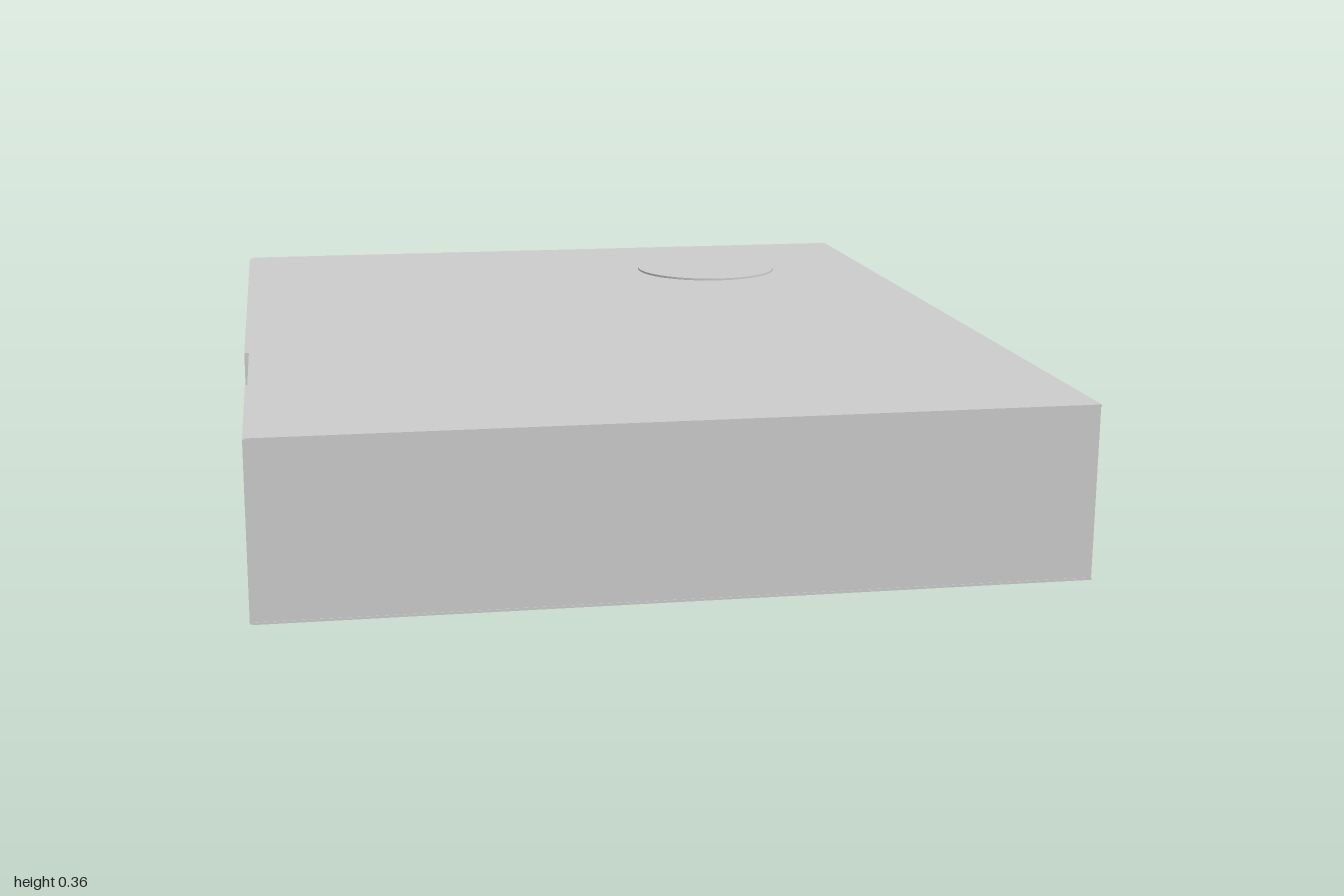
import * as THREE from 'three';

const WALL_TOP = 0.353; // wall height, just under the roof surface
const OUTER = 0.045;    // outer wall thickness
const INNER = 0.036;    // partition thickness
const material = new THREE.MeshStandardMaterial({ color: 0xcccccc, flatShading: true });

// Box given by its limits along each axis
function block(name, [x0, x1], [y0, y1], [z0, z1]) {
  const mesh = new THREE.Mesh(new THREE.BoxGeometry(x1 - x0, y1 - y0, z1 - z0), material);
  mesh.position.set((x0 + x1) / 2, (y0 + y1) / 2, (z0 + z1) / 2);
  mesh.name = name;
  return mesh;
}

export function createModel() {
  const house = new THREE.Group();
  house.name = 'house';
  const height = [0.001, WALL_TOP];

  // Thin floor and roof slabs
  house.add(block('floor', [-0.81, 0.817], [0, 0.005], [-1, 1]));
  house.add(block('roof', [-0.81, 0.817], [0.35, 0.355], [-1, 1]));

  // Outer walls, with a full-height entrance in the -x side
  const outer = new THREE.Group();
  outer.name = 'outerWalls';
  outer.add(
    block('frontWall', [-0.815, 0.816], height, [1 - OUTER, 0.999]),
    block('backWall', [-0.819, 0.816], height, [-0.999, -1 + OUTER]),
    block('leftWall', [0.816 - OUTER, 0.816], height, [-1 + OUTER, 1 - OUTER]),
    block('rightWallBack', [-0.82, -0.82 + OUTER], height, [-1 + OUTER, 0.255]),
    block('rightWallFront', [-0.815, -0.815 + OUTER], height, [0.56, 1 - OUTER])
  );
  house.add(outer);

  // Partitions between rooms; the gaps are doorways
  const inner = new THREE.Group();
  inner.name = 'partitions';
  const across = (z, runs) => runs.forEach((run) =>
    inner.add(block('crossPartition', run, height, [z - INNER / 2, z + INNER / 2])));
  const along = (x, runs) => runs.forEach((run) =>
    inner.add(block('lengthPartition', [x - INNER / 2, x + INNER / 2], height, run)));
  across(-0.27, [[-0.776, -0.46], [-0.17, 0.33], [0.55, 0.772]]);
  across(0.51, [[0.03, 0.25], [0.45, 0.772]]);
  along(0.025, [[-0.956, 0.12], [0.3, 0.64], [0.81, 0.956]]);
  house.add(inner);

  // Low round disc on the roof
  const disc = new THREE.Mesh(
    new THREE.CylinderGeometry(0.18, 0.18, 0.008, 48),
    new THREE.MeshStandardMaterial({ color: 0xcccccc })
  );
  disc.position.set(0.385, 0.356, -0.625);
  disc.name = 'roofDisc';
  house.add(disc);

  return house;
}
